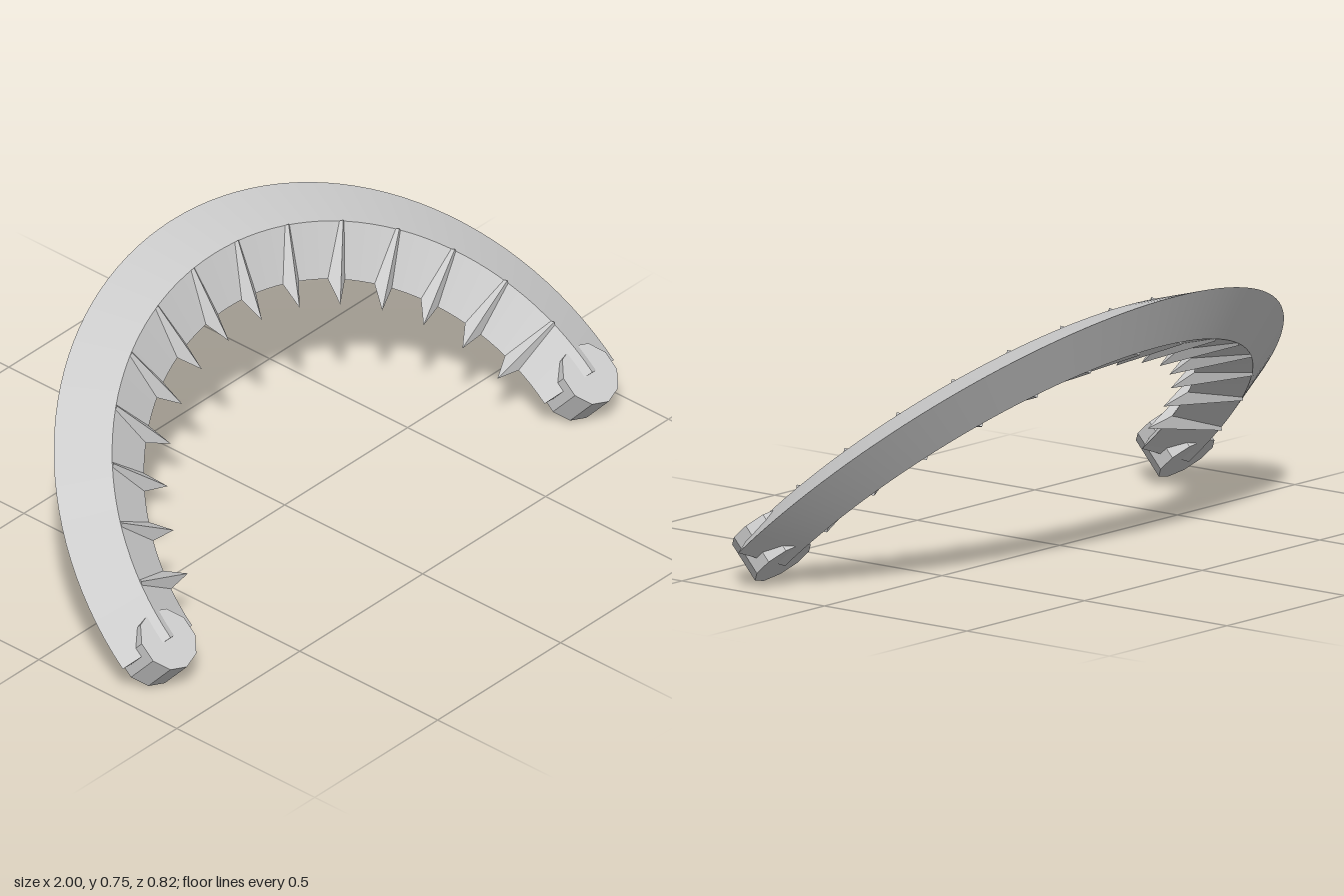
import * as THREE from 'three';

const RX = 0.858, RY = 0.818;          // centre line of the half-hoop
const HALF_W = 0.141, HALF_T = 0.0715; // rhombic cross-section

const onHoop = (angle, out, n) => new THREE.Vector3(
  (RX + out) * Math.cos(angle), (RY + out) * Math.sin(angle), n);

const faceted = (geometry) => {
  const g = geometry.toNonIndexed();
  g.computeVertexNormals();
  return g;
};

// Sweeps one edge of the cross-section round the hoop, smooth along its length
function stripGeometry(from, to, segments = 64) {
  const positions = [], index = [];
  for (let i = 0; i <= segments; i++) {
    const angle = Math.PI * i / segments;
    positions.push(...onHoop(angle, ...from).toArray(), ...onHoop(angle, ...to).toArray());
    if (i < segments) {
      const a = 2 * i;
      index.push(a, a + 2, a + 1, a + 1, a + 2, a + 3);
    }
  }
  const g = new THREE.BufferGeometry();
  g.setAttribute('position', new THREE.Float32BufferAttribute(positions, 3));
  g.setIndex(index);
  g.computeVertexNormals();
  return g;
}

// Flat rhombus closing one end of the hoop
function capGeometry(angle, profile) {
  const g = new THREE.BufferGeometry().setFromPoints(profile.map((p) => onHoop(angle, ...p)));
  g.setIndex(angle === 0 ? [0, 1, 2, 0, 2, 3] : [0, 2, 1, 0, 3, 2]);
  g.computeVertexNormals();
  return g;
}

export function createModel() {
  const model = new THREE.Group();
  model.name = 'headband';
  const grey = new THREE.MeshStandardMaterial({ color: 0xcccccc });
  grey.name = 'light grey';

  // The hoop lies in a plane that leans back from the two ends
  const hoop = new THREE.Group();
  hoop.name = 'tiltedHoop';
  hoop.rotation.x = -THREE.MathUtils.degToRad(48);
  hoop.position.set(0, 0.105, 0.303);
  model.add(hoop);

  const add = (name, geometry, parent = hoop) => {
    const mesh = new THREE.Mesh(geometry, grey);
    mesh.name = name;
    parent.add(mesh);
    return mesh;
  };

  // Band: four sloping faces and two end caps
  const band = new THREE.Group();
  band.name = 'band';
  hoop.add(band);
  const profile = [[HALF_W, 0], [0, HALF_T], [-HALF_W, 0], [0, -HALF_T]];
  const faceNames = ['outerUpperFace', 'innerUpperFace', 'innerLowerFace', 'outerLowerFace'];
  profile.forEach((p, k) => add(faceNames[k], stripGeometry(p, profile[(k + 1) % 4]), band));
  add('leftEndCap', capGeometry(0, profile), band);
  add('rightEndCap', capGeometry(Math.PI, profile), band);

  // Ten-sided end knobs
  const knob = faceted(new THREE.CylinderGeometry(0.09, 0.09, 0.12, 10).rotateX(Math.PI / 2));
  for (const side of [1, -1]) {
    add(side > 0 ? 'leftEndKnob' : 'rightEndKnob', knob).position.x = side * RX;
  }

  // Fourteen four-sided spikes pointing inward
  const spikeLength = 0.215;
  const spike = faceted(new THREE.ConeGeometry(0.079, spikeLength, 4));
  for (let i = 1; i <= 14; i++) {
    const angle = Math.PI * i / 15;
    const mesh = add('spike' + i, spike);
    mesh.position.copy(onHoop(angle, -spikeLength / 2, 0));
    mesh.rotation.z = angle + Math.PI / 2;
  }
  return model;
}
